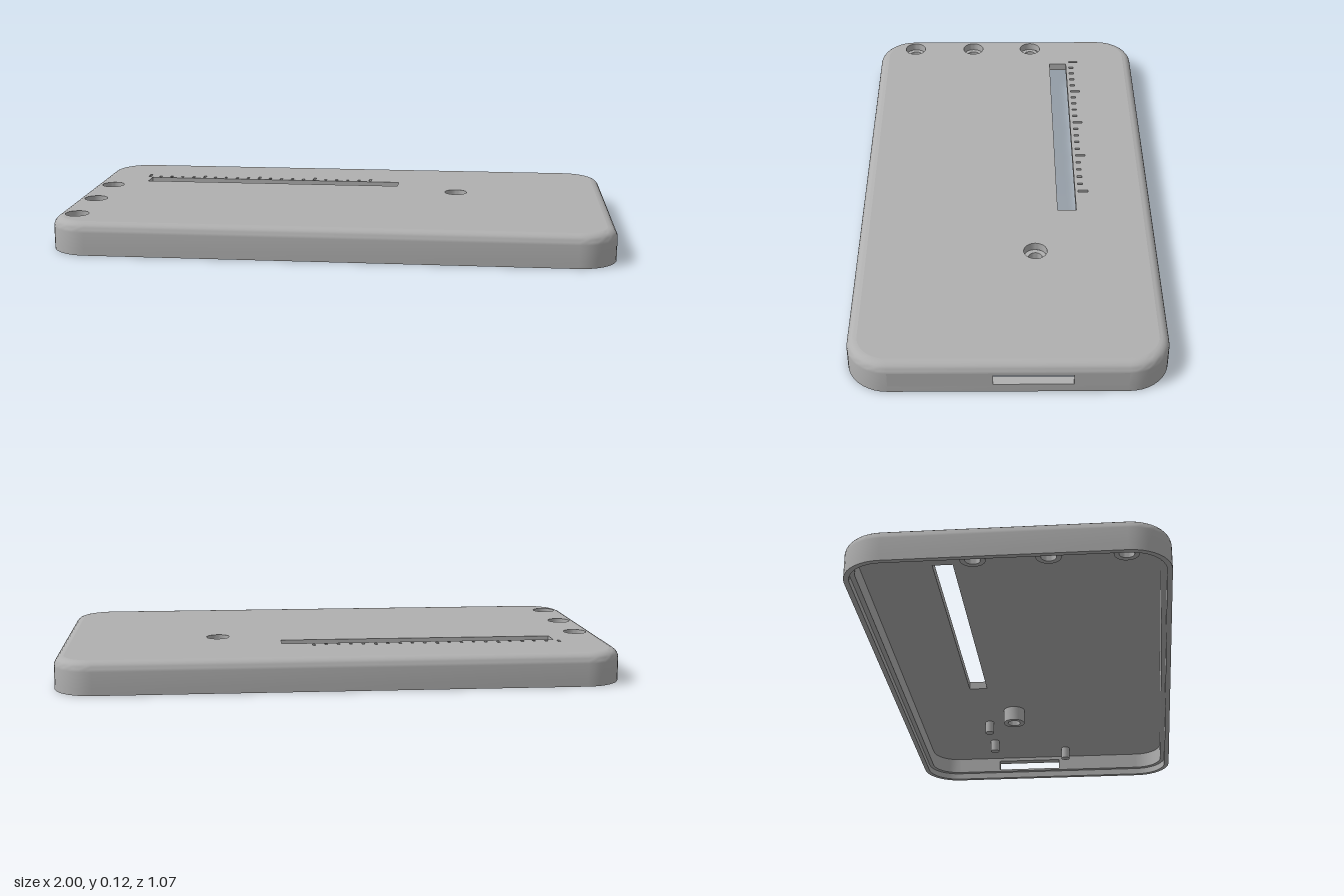
import * as THREE from 'three';
import { toCreasedNormals } from 'three/addons/utils/BufferGeometryUtils.js';

const HX = 1, HZ = 0.535, R = 0.14;            // half sizes and plan corner radius
const TOP = 0.117, CEIL = 0.087, WALL = 0.035, LIP = 0.018, STEP = 0.025, SHOULDER = 0.082;
const SEG = 10;

// Rounded-rectangle outline, inset from the outer wall, as [x, z] points
function outline(inset) {
  const pts = [];
  [[1, 1], [-1, 1], [-1, -1], [1, -1]].forEach(([sx, sz], k) => {
    for (let i = 0; i <= SEG; i++) {
      const a = (k + i / SEG) * Math.PI / 2;
      pts.push([sx * (HX - R) + (R - inset) * Math.cos(a), sz * (HZ - R) + (R - inset) * Math.sin(a)]);
    }
  });
  return pts;
}

// Sweep a wall profile [inset, y, leaveOpen] round the outline;
// leaveOpen omits the straight +x side of the band that starts there
function sweepWall(profile) {
  const pos = [];
  const rings = profile.map(([inset, y]) => outline(inset).map(([x, z]) => [x, y, z]));
  for (let j = 0; j < rings.length - 1; j++) {
    const n = rings[j].length;
    for (let i = 0; i < n; i++) {
      if (profile[j][2] && i === n - 1) continue;
      const k = (i + 1) % n;
      const a = rings[j][i], b = rings[j + 1][i], c = rings[j + 1][k], d = rings[j][k];
      pos.push(...a, ...b, ...d, ...b, ...c, ...d);
    }
  }
  const g = new THREE.BufferGeometry();
  g.setAttribute('position', new THREE.Float32BufferAttribute(pos, 3));
  return toCreasedNormals(g, 0.6);
}

function rectPath(x0, y0, x1, y1, Type = THREE.Path) {
  return new Type([[x0, y0], [x1, y0], [x1, y1], [x0, y1]].map(p => new THREE.Vector2(...p)));
}

export function createModel() {
  const group = new THREE.Group();
  const grey = new THREE.MeshStandardMaterial({ color: 0xb0b0b0 });
  grey.name = 'plain grey';
  const add = (name, geo) => {
    const m = new THREE.Mesh(geo, grey);
    m.name = name;
    group.add(m);
    return m;
  };

  const screwSpots = [[-0.94, -0.105], [-0.94, 0.14], [-0.94, 0.39], [0.43, -0.1]];
  const pinSpots = [[0.87, 0.085], [0.76, -0.215], [0.55, -0.215]];

  // Side wall with stepped lip below and rounded edge above
  const profile = [
    [WALL, CEIL], [WALL, SHOULDER, true], [WALL, STEP], [LIP, STEP], [LIP, 0],
    [0, 0], [0, STEP, true],
  ];
  for (let i = 0; i <= 6; i++) {
    const a = i / 6 * Math.PI / 2;
    profile.push([WALL * (1 - Math.cos(a)), SHOULDER + (TOP - SHOULDER) * Math.sin(a)]);
  }
  add('sideWall', sweepWall(profile));

  // Straight +x side with the port opening
  const side = rectPath(-(HZ - R), STEP, HZ - R, SHOULDER, THREE.Shape);
  side.holes.push(rectPath(-0.05, 0.033, 0.215, 0.073));
  const panel = new THREE.ExtrudeGeometry(side, { depth: WALL, bevelEnabled: false });
  panel.rotateY(Math.PI / 2).translate(HX - WALL, 0, 0);
  add('portWall', panel);

  // Top plate in two layers: the upper one also carries the engraved scale
  function plate(name, y0, y1, withScale) {
    const s = new THREE.Shape(outline(WALL).map(([x, z]) => new THREE.Vector2(x, -z)));
    s.holes.push(rectPath(-0.8, 0.187, 0.2, 0.256));
    for (const [x, z] of screwSpots) {
      const h = new THREE.Path();
      // bores by the edge stop at the plate border
      h.absarc(Math.max(x, -0.922), -z, 0.042, 0, Math.PI * 2);
      s.holes.push(h);
    }
    if (withScale) {
      for (let i = 0; i <= 20; i++) {
        const x = -0.815 + i * 0.045;
        s.holes.push(rectPath(x - 0.005, 0.268, x + 0.005, i % 5 ? 0.286 : 0.305));
      }
    }
    const g = new THREE.ExtrudeGeometry(s, { depth: y1 - y0, bevelEnabled: false, curveSegments: 16 });
    g.rotateX(-Math.PI / 2).translate(0, y0, 0);
    add(name, toCreasedNormals(g, 0.6));
  }
  plate('topPlateLower', CEIL, TOP - 0.01, false);
  plate('topPlateScale', TOP - 0.01, TOP, true);

  // Hollow screw bosses under the bores
  const tube = [[0.025, 0.03], [0.042, 0.03], [0.042, CEIL], [0.025, CEIL], [0.025, 0.03]]
    .map(p => new THREE.Vector2(...p));
  const bossGeo = toCreasedNormals(new THREE.LatheGeometry(tube, 24), 0.6);
  for (const [x, z] of screwSpots) add('screwBoss', bossGeo).position.set(Math.max(x, -0.922), 0, z);

  // Locating pins under the plate
  const pinGeo = new THREE.CylinderGeometry(0.018, 0.018, CEIL - 0.04, 20);
  for (const [x, z] of pinSpots) add('locatingPin', pinGeo).position.set(x, (CEIL + 0.04) / 2, z);

  return group;
}
